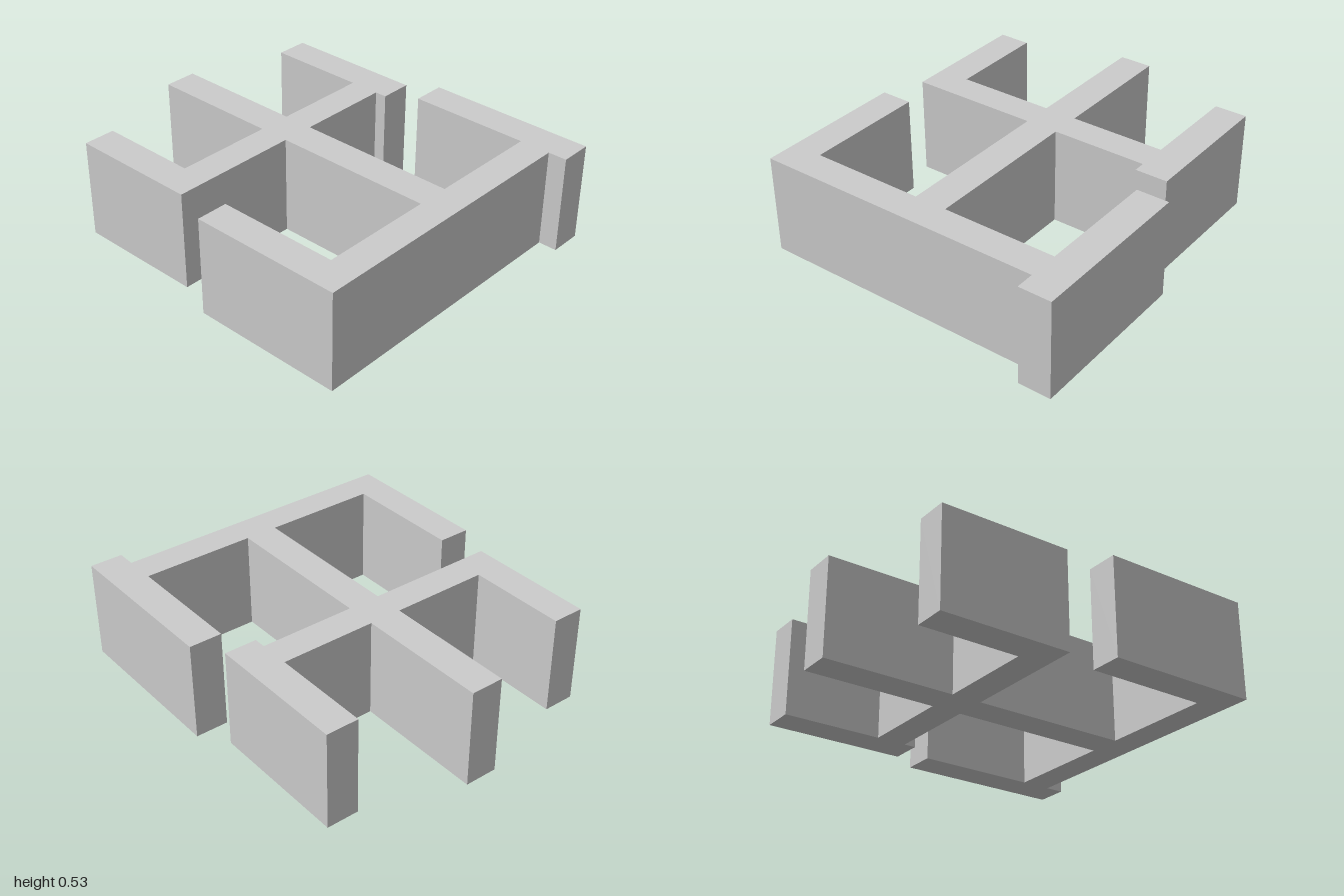
import * as THREE from 'three';

const HEIGHT = 0.53;

// Plan of the walls as [x, z] corners, walked round from the rear end of the spine
const PLAN = [
  // rear end of the spine
  [-0.09, -1], [0.085, -1],
  // rear crossbar and its left arm, which overhangs the bar
  [0.085, -0.29], [0.597, -0.29], [0.597, -0.827], [0.77, -0.827],
  [0.77, -0.063], [0.597, -0.063], [0.597, -0.127], [0.085, -0.127],
  // front crossbar with its left arm, then its right arm
  [0.085, 0.735], [0.695, 0.735], [0.695, 0.08], [0.87, 0.08],
  [0.87, 1], [0.695, 1], [0.695, 0.9], [-0.87, 0.9],
  [-0.87, 0.08], [-0.7, 0.08], [-0.7, 0.735], [-0.09, 0.735],
  // rear crossbar, right arm
  [-0.09, -0.127], [-0.785, -0.127], [-0.785, -0.827], [-0.615, -0.827],
  [-0.615, -0.29], [-0.09, -0.29],
];

export function createModel() {
  const group = new THREE.Group();
  group.name = 'branchingWallBlock';

  // The plan is drawn with z flipped, then laid flat so the extrusion rises along y
  const shape = new THREE.Shape(PLAN.map(([x, z]) => new THREE.Vector2(x, -z)));
  const geometry = new THREE.ExtrudeGeometry(shape, { depth: HEIGHT, bevelEnabled: false });
  geometry.rotateX(-Math.PI / 2);

  const walls = new THREE.Mesh(geometry, new THREE.MeshStandardMaterial({ color: 0xcccccc }));
  walls.name = 'walls';
  group.add(walls);
  return group;
}
